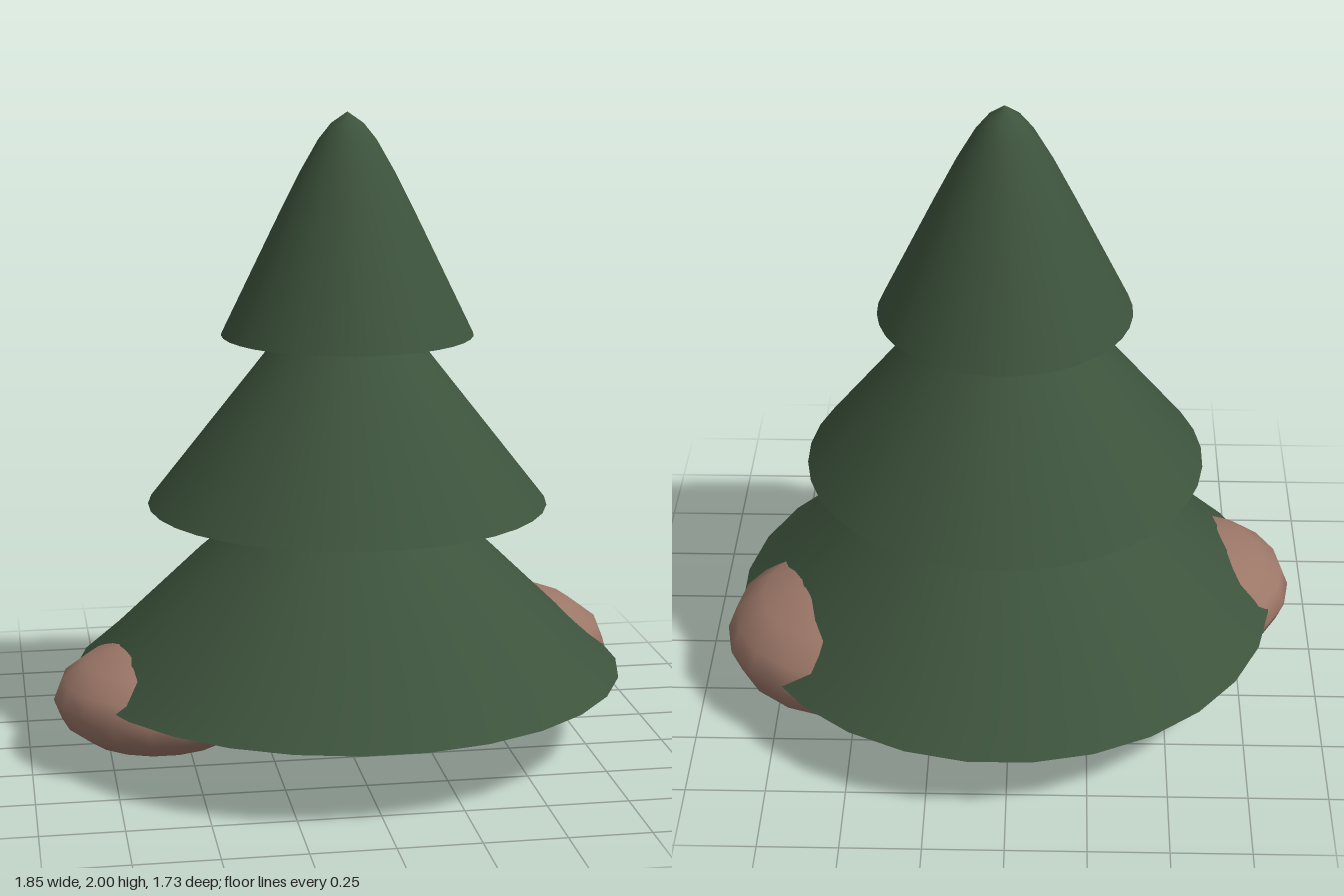
import * as THREE from 'three';

const green = new THREE.MeshStandardMaterial({ color: 0x3d533c });
green.name = 'needleGreen';
const stone = new THREE.MeshStandardMaterial({ color: 0x9c7768 });
stone.name = 'rockBrown';
const bark = new THREE.MeshStandardMaterial({ color: 0x6b483a });
bark.name = 'barkBrown';

// One skirt of branches: a lathed cone closed by a flat underside
function makeTier(name, profile, sides) {
  const tier = new THREE.Group();
  tier.name = name;
  const points = profile.map(([r, y]) => new THREE.Vector2(r, y));
  const skirt = new THREE.Mesh(new THREE.LatheGeometry(points, sides), green);
  skirt.name = name + 'Skirt';
  const disc = new THREE.CircleGeometry(profile[0][0], sides);
  disc.rotateX(Math.PI / 2);
  const underside = new THREE.Mesh(disc, green);
  underside.name = name + 'Underside';
  underside.position.y = profile[0][1];
  tier.add(skirt, underside);
  // align the disc corners with the skirt and turn a flat edge to the front
  tier.rotation.y = Math.PI / sides;
  return tier;
}

// A rock is a coarse sphere stretched to an ellipsoid
function makeRock(name, centre, radii) {
  const rock = new THREE.Mesh(new THREE.SphereGeometry(1, 18, 8).scale(...radii), stone);
  rock.name = name;
  rock.position.set(...centre);
  return rock;
}

export function createModel() {
  const model = new THREE.Group();
  model.name = 'pineTreeWithRocks';

  const tree = new THREE.Group();
  tree.name = 'tree';
  tree.position.x = 0.02;
  tree.add(
    makeTier('lowerBranches', [[0.87, 0.235], [0.755, 0.335], [0.48, 0.6], [0.28, 0.775], [0.1, 0.93], [0, 0.98]], 28),
    makeTier('middleBranches', [[0.63, 0.775], [0.43, 1.03], [0.21, 1.31], [0.08, 1.46], [0, 1.5]], 36),
    makeTier('topBranches', [[0.395, 1.31], [0.225, 1.66], [0.15, 1.81], [0.09, 1.915], [0.05, 1.965], [0, 2]], 36)
  );

  // Six-sided trunk, tapering slightly upwards
  const trunkShape = new THREE.CylinderGeometry(0.07, 0.1, 0.6, 6).toNonIndexed();
  trunkShape.computeVertexNormals();
  trunkShape.rotateY(Math.PI / 6);
  const trunk = new THREE.Mesh(trunkShape, bark);
  trunk.name = 'trunk';
  trunk.rotation.y = Math.PI / 6;
  trunk.position.y = 0.35;
  trunk.rotation.y -= Math.PI / 3 - Math.PI / 6; // corners to the sides, flat face to the front
  trunk.rotation.y += Math.PI / 3;
  tree.add(trunk);
  model.add(tree);

  model.add(
    makeRock('largeRock', [0.505, 0.215, -0.19], [0.415, 0.21, 0.39]),
    makeRock('smallRock', [-0.597, 0.197, 0.11], [0.328, 0.167, 0.34])
  );
  return model;
}
